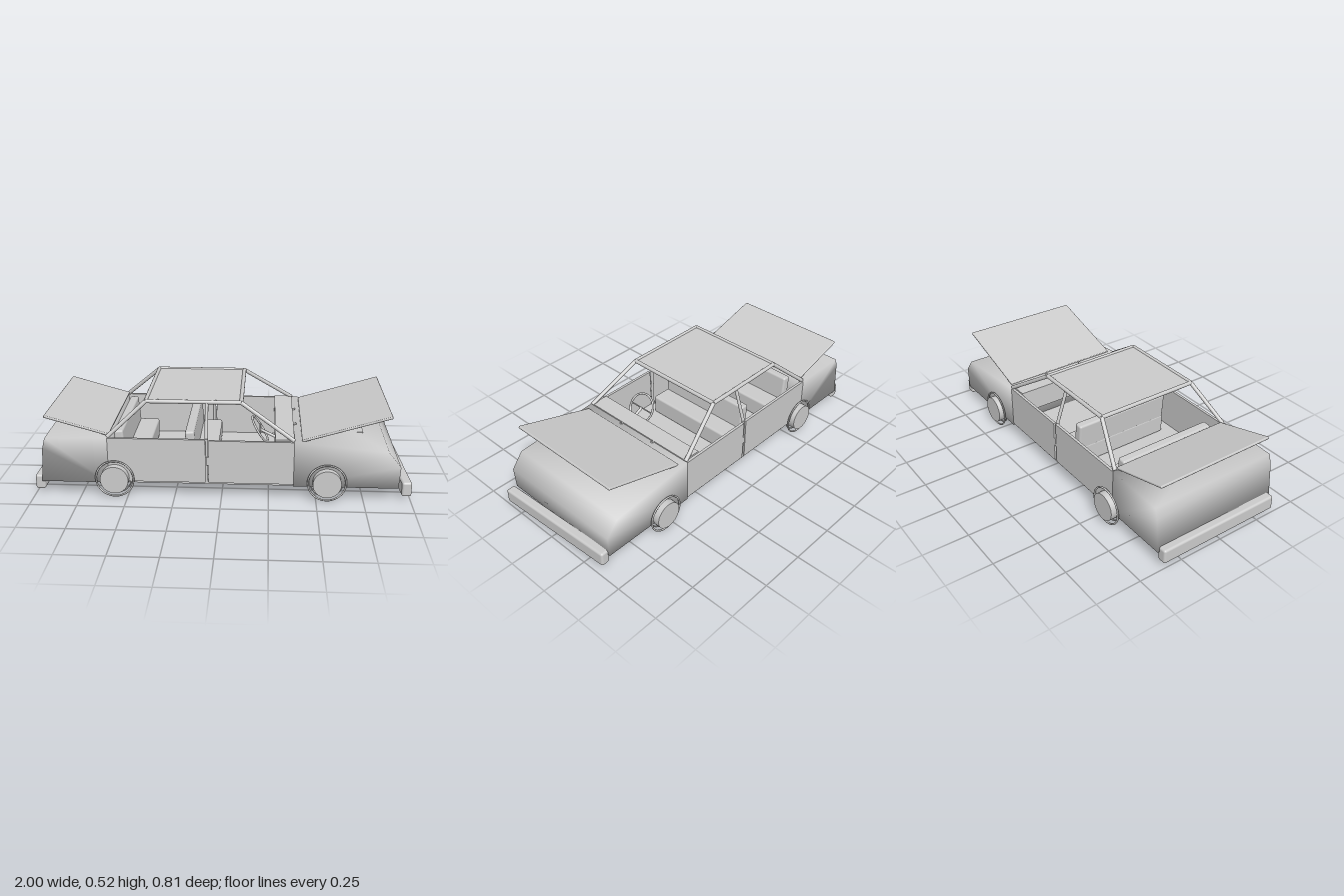
import * as THREE from 'three';
import { mergeVertices } from 'three/addons/utils/BufferGeometryUtils.js';
import { RoundedBoxGeometry } from 'three/addons/geometries/RoundedBoxGeometry.js';

const grey = new THREE.MeshStandardMaterial({ color: 0xcccccc, side: THREE.DoubleSide });

export function createModel() {
  const car = new THREE.Group();
  car.name = 'car';

  const add = (name, geo, x = 0, y = 0, z = 0) => {
    const m = new THREE.Mesh(geo, grey);
    m.name = name;
    m.position.set(x, y, z);
    car.add(m);
    return m;
  };
  // box given by its limits on each axis
  const box = (name, x0, x1, y0, y1, z0, z1) =>
    add(name, new THREE.BoxGeometry(x1 - x0, y1 - y0, z1 - z0), (x0 + x1) / 2, (y0 + y1) / 2, (z0 + z1) / 2);
  // round bar between two points
  const rod = (name, a, b, r = 0.011) => {
    const A = new THREE.Vector3(...a), B = new THREE.Vector3(...b);
    const d = B.clone().sub(A);
    const m = add(name, new THREE.CylinderGeometry(r, r, d.length(), 12));
    m.position.copy(A).add(B).multiplyScalar(0.5);
    m.quaternion.setFromUnitVectors(new THREE.Vector3(0, 1, 0), d.normalize());
    return m;
  };
  // side profile extruded across the car, with soft shading over its edges
  const bodySection = (name, points, halfWidth) => {
    const shape = new THREE.Shape(points.map(p => new THREE.Vector2(...p)));
    let geo = new THREE.ExtrudeGeometry(shape, { depth: halfWidth * 2, bevelEnabled: false });
    geo.translate(0, 0, -halfWidth);
    geo.deleteAttribute('normal');
    geo.deleteAttribute('uv');
    geo = mergeVertices(geo, 1e-4);
    geo.computeVertexNormals();
    return add(name, geo);
  };
  // thin lid lying on the line between two side points
  const lid = (name, a, b, halfWidth, t = 0.014) => {
    const dx = b[0] - a[0], dy = b[1] - a[1];
    const m = add(name, new RoundedBoxGeometry(Math.hypot(dx, dy), t, halfWidth * 2, 2, 0.005),
      (a[0] + b[0]) / 2, (a[1] + b[1]) / 2, 0);
    m.rotation.z = Math.atan2(dy, dx);
    return m;
  };

  // body ends and floor
  bodySection('frontBody', [[0.38, 0.08], [0.93, 0.08], [0.936, 0.2], [0.87, 0.282], [0.38, 0.33]], 0.368);
  bodySection('rearBody', [[-0.6, 0.08], [-0.6, 0.335], [-0.93, 0.327], [-0.945, 0.27], [-0.96, 0.08]], 0.368);
  box('floor', -0.6, 0.38, 0.08, 0.095, -0.36, 0.36);

  // open bonnet and boot lids
  lid('bonnet', [0.42, 0.326], [0.88, 0.465], 0.342);
  lid('bootLid', [-0.595, 0.342], [-0.934, 0.438], 0.342);
  box('bonnetLatch', 0.71, 0.76, 0.291, 0.298, -0.12, 0.12);

  // bumpers
  const bumper = new RoundedBoxGeometry(0.052, 0.08, 0.715, 3, 0.012);
  add('rearBumper', bumper, -0.974, 0.068, 0);
  const front = add('frontBumper', bumper, 0.962, 0.068, 0);
  front.rotation.y = 0.045;

  for (const s of [1, -1]) {
    // doors
    const z0 = Math.min(s * 0.352, s * 0.367), z1 = Math.max(s * 0.352, s * 0.367);
    box('rearDoor', -0.6, -0.084, 0.09, 0.333, z0, z1);
    box('frontDoor', -0.067, 0.38, 0.09, 0.328, z0, z1);
    box('doorHandle', -0.08, -0.068, 0.19, 0.235, z0, z1);

    // window pillars and roof rails
    rod('frontPillar', [0.1, 0.515, s * 0.29], [0.38, 0.332, s * 0.355]);
    rod('rearPillar', [-0.4, 0.515, s * 0.29], [-0.6, 0.337, s * 0.355]);
    rod('middlePillarTop', [-0.08, 0.515, s * 0.29], [-0.08, 0.333, s * 0.35], 0.009);
    rod('middlePillarBase', [-0.08, 0.333, s * 0.35], [-0.08, 0.09, s * 0.35], 0.009);
    rod('roofRail', [-0.4, 0.515, s * 0.29], [0.1, 0.515, s * 0.29]);

    // wheels: hub drum with two thin hoops
    for (const x of [-0.565, 0.555]) {
      const hub = add('wheelHub', new THREE.CylinderGeometry(0.075, 0.075, 0.045, 32), x, 0.109, s * 0.382);
      hub.rotation.x = Math.PI / 2;
      add('outerHoop', new THREE.TorusGeometry(0.1, 0.005, 8, 40), x, 0.109, s * 0.383);
      add('innerHoop', new THREE.TorusGeometry(0.088, 0.004, 8, 40), x, 0.109, s * 0.361);
    }
  }

  // roof, cross rails and ceiling panel
  box('roof', -0.4, 0.1, 0.511, 0.519, -0.29, 0.29);
  for (const x of [-0.4, 0.1]) rod('roofCrossRail', [x, 0.515, -0.29], [x, 0.515, 0.29]);
  box('ceilingPanel', -0.21, -0.01, 0.486, 0.5, -0.205, 0.205);

  // bench seats
  for (const [name, x] of [['rearSeat', -0.59], ['frontSeat', -0.21]]) {
    const back = add(name + 'Back', new RoundedBoxGeometry(0.05, 0.245, 0.57, 2, 0.012), x + 0.045, 0.222, 0);
    back.rotation.z = 0.08;
    add(name + 'Cushion', new RoundedBoxGeometry(0.16, 0.11, 0.57, 2, 0.012), x + 0.1, 0.15, 0);
  }

  // dashboard, steering wheel and wipers
  box('dashboard', 0.28, 0.38, 0.21, 0.337, -0.352, 0.352);
  const tilt = new THREE.Vector3(0.84, 0.54, 0).normalize();
  const wheel = add('steeringWheel', new THREE.TorusGeometry(0.08, 0.006, 8, 32), 0.2, 0.315, 0.15);
  wheel.quaternion.setFromUnitVectors(new THREE.Vector3(0, 0, 1), tilt);
  rod('steeringColumn', [0.2, 0.315, 0.15], [0.29, 0.27, 0.15], 0.008);
  rod('steeringSpoke', [0.2, 0.315, 0.072], [0.2, 0.315, 0.228], 0.004);
  for (const z of [0.11, -0.125]) rod('wiperPivot', [0.375, 0.33, z], [0.395, 0.338, z], 0.006);

  return car;
}
